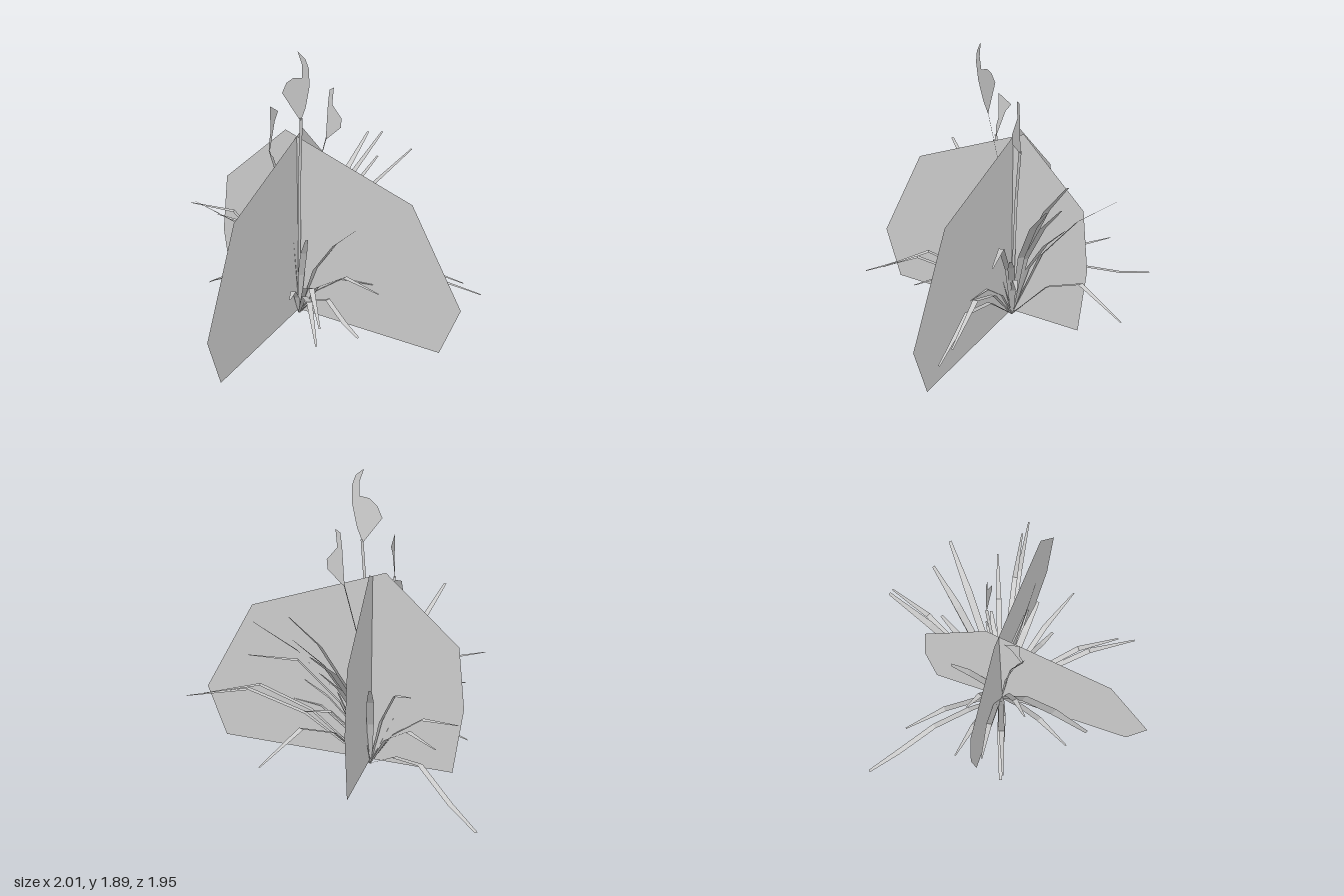
import * as THREE from 'three';

const grey = new THREE.MeshStandardMaterial({ color: 0xcccccc, side: THREE.DoubleSide, flatShading: true });
grey.name = 'plain grey';

const ROOT = new THREE.Vector3(-0.19, 0.01, -0.05);

function flatSheet(name, outline) {
  const shape = new THREE.Shape(outline.map(([a, b]) => new THREE.Vector2(a, b)));
  const mesh = new THREE.Mesh(new THREE.ShapeGeometry(shape), grey);
  mesh.name = name;
  return mesh;
}

// Bent ribbon from the root to a tip. Each bend is [share of the reach, share of the tip height]
function ribbon(name, tip, bends, width, tipScale) {
  const end = new THREE.Vector3(...tip);
  const path = [[0, ROOT.y / end.y], ...bends, [1, 1]].map(([reach, rise]) => {
    const p = ROOT.clone().lerp(end, reach);
    return p.setY(rise * end.y);
  });
  const side = new THREE.Vector3(end.z - ROOT.z, 0, ROOT.x - end.x).normalize();
  const positions = [], index = [];
  path.forEach((p, i) => {
    const scale = i === 0 ? 0.4 : i === path.length - 1 ? tipScale : 1;
    for (const s of [-0.5, 0.5]) positions.push(...p.clone().addScaledVector(side, s * scale * width).toArray());
    if (i > 0) {
      const k = 2 * i - 2;
      index.push(k, k + 1, k + 2, k + 1, k + 3, k + 2);
    }
  });
  const geo = new THREE.BufferGeometry();
  geo.setAttribute('position', new THREE.Float32BufferAttribute(positions, 3));
  geo.setIndex(index);
  geo.computeVertexNormals();
  const mesh = new THREE.Mesh(geo, grey);
  mesh.name = name;
  return mesh;
}

export function createModel() {
  const model = new THREE.Group();
  model.name = 'plant';

  // Two crossed upright sheets
  const wide = flatSheet('wideSheet', [
    [-0.73, 0.04], [0.83, 0.04], [0.95, 0.39], [0.6, 1.02], [-0.27, 1.33], [-0.73, 0.91], [-0.78, 0.5]]);
  wide.position.z = -0.045;
  const deep = flatSheet('deepSheet', [
    [-0.54, 0.04], [0.87, 0.04], [0.975, 0.39], [0.66, 1.02], [-0.12, 1.33], [-0.54, 0.91], [-0.585, 0.5]]);
  deep.rotation.y = -Math.PI / 2;
  deep.position.x = -0.19;
  model.add(wide, deep);

  // Upright blades, rising nearly straight
  const upright = [
    [-0.5, 1.06, 0.6], [-0.26, 1.22, 0.13], [0.28, 0.81, 0.05], [-0.04, 0.68, 0.1],
    [0.14, 1.21, -0.58], [0.36, 1.14, -0.56], [-0.07, 1.09, -0.8], [0.13, 1.05, -0.54],
    [-0.02, 0.84, -0.5], [-0.27, 0.7, -0.35], [0.18, 0.65, -0.24]];
  for (const tip of upright) model.add(ribbon('uprightBlade', tip, [[0.3, 0.5], [0.65, 0.8]], 0.045, 0.4));

  // Arching blades, levelling out towards the tip
  const arching = [
    [-0.85, 0.79, 0.2], [-0.77, 0.65, 0.03], [-0.6, 0.55, 0.12], [-0.43, 0.65, 0.2], [-0.48, 0.47, 0.5],
    [0.52, 0.8, -0.31], [-0.71, 0.48, -0.52], [-0.77, 0.45, -0.16], [-0.48, 0.6, -0.18],
    [0.36, 0.4, -0.04], [0.17, 0.45, -0.28], [-0.08, 0.31, 0.25], [0.53, 0.53, 0.23]];
  for (const tip of arching) model.add(ribbon('archingBlade', tip, [[0.26, 0.58], [0.6, 0.95]], 0.035, 0.25));

  // Drooping blades, with tips below the bend
  const drooping = [
    [0.34, 0.45, 0.61], [0.38, 0.41, 0.72], [0.18, 0.46, -0.97], [1.0, 0.41, -0.25], [0.88, 0.45, -0.26]];
  for (const tip of drooping) model.add(ribbon('droopingBlade', tip, [[0.35, 0.85], [0.65, 1.2]], 0.035, 0.3));

  // Low blades, falling almost to the ground
  const low = [[0.36, 0.11, 0.15], [-0.78, 0.18, 0.15], [-1.0, 0.12, -0.72]];
  for (const tip of low) model.add(ribbon('lowBlade', tip, [[0.25, 1.6], [0.5, 2.3], [0.78, 1.4]], 0.035, 0.5));

  // Three tall stalks
  const stalks = [[-0.085, 1.48, 0.075], [-0.05, 1.28, -0.17], [-0.28, 1.25, 0.13]];
  for (const tip of stalks) model.add(ribbon('stalk', tip, [[0.22, 0.35], [0.5, 0.72]], 0.018, 1));

  // Flat heads on the stalks, the tallest leaning forward with height
  const tallHead = flatSheet('tallHead', [
    [-0.09, 1.46], [-0.05, 1.55], [-0.015, 1.69], [-0.01, 1.8], [-0.03, 1.86], [-0.08, 1.9],
    [-0.055, 1.82], [-0.06, 1.74], [-0.12, 1.73], [-0.17, 1.69], [-0.205, 1.62]]);
  const lean = tallHead.geometry.attributes.position;
  for (let i = 0; i < lean.count; i++) lean.setZ(i, 0.075 + (lean.getY(i) - 1.46) * 0.1);
  tallHead.geometry.computeVertexNormals();
  const backHead = flatSheet('backHead', [
    [-0.055, 1.26], [0.05, 1.36], [0.055, 1.42], [-0.01, 1.5], [0, 1.61], [-0.03, 1.59], [-0.04, 1.5]]);
  backHead.position.z = -0.17;
  const sideHead = flatSheet('sideHead', [
    [0.13, 1.23], [0.06, 1.42], [0.02, 1.47], [0.08, 1.51], [0.11, 1.53], [0.11, 1.37], [0.13, 1.3]]);
  sideHead.rotation.y = -Math.PI / 2;
  sideHead.position.x = -0.28;
  model.add(tallHead, backHead, sideHead);

  return model;
}
